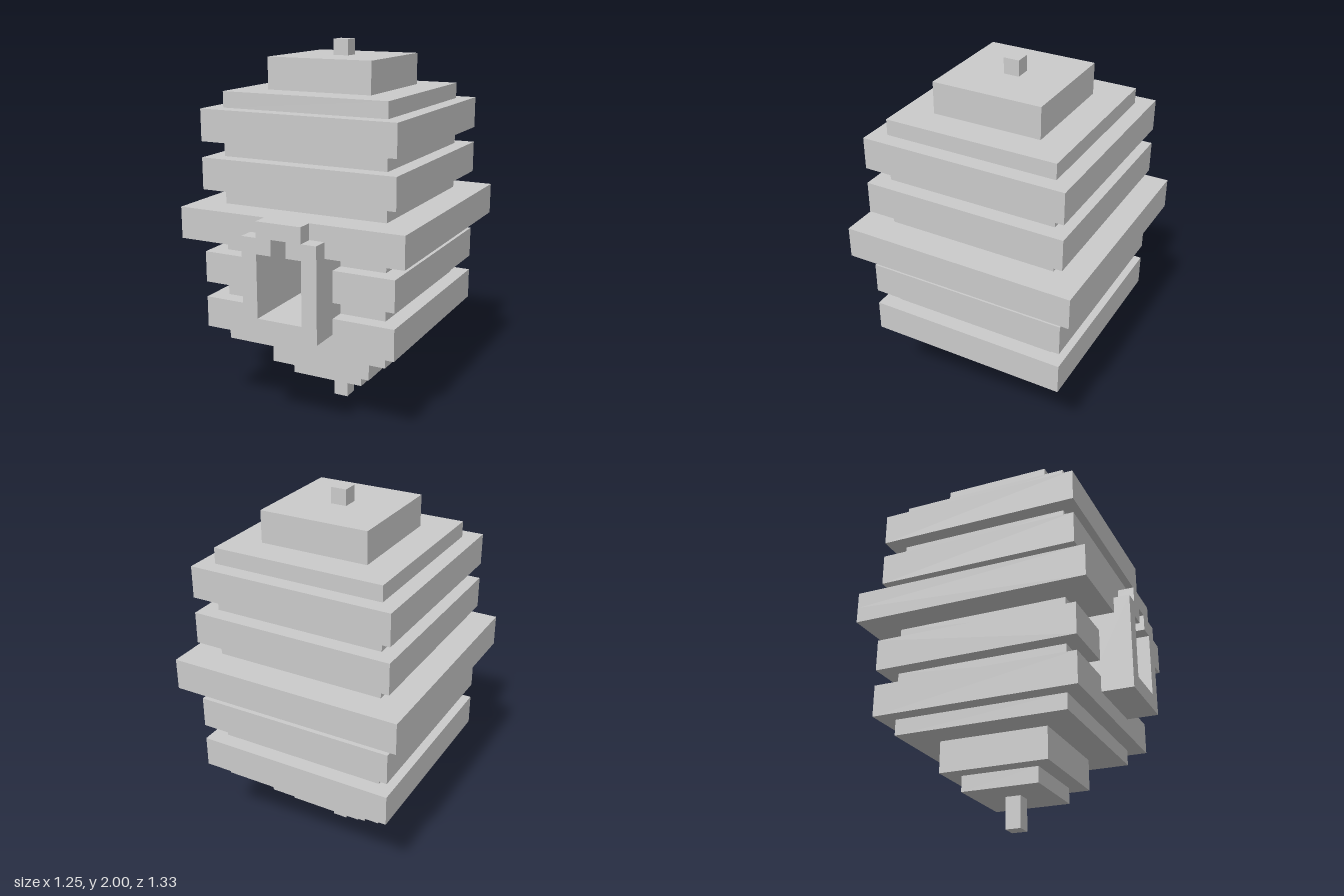
import * as THREE from 'three';

const U = 1 / 12;            // one block
const MID_Z = -0.5;          // tiers sit half a block behind the origin
const TUNNEL_BACK = 2;       // where the entrance passage ends

const material = new THREE.MeshStandardMaterial({ color: 0xcccccc, flatShading: true });

function outline(points, Type = THREE.Shape) {
  return new Type(points.map(([x, y]) => new THREE.Vector2(x * U, y * U)));
}

function extrude(shape, depth) {
  return new THREE.ExtrudeGeometry(shape, { depth: depth * U, bevelEnabled: false });
}

// Square tier between two heights, with an optional slot cut in from the front
function tier(name, y0, y1, width, slot = 0) {
  const h = width / 2;
  const front = h + MID_Z, back = -h + MID_Z, s = slot / 2;
  let geometry;
  if (slot) {
    // Plan drawn with -z as its second axis, then laid flat
    geometry = extrude(outline([
      [-h, -front], [-s, -front], [-s, -TUNNEL_BACK], [s, -TUNNEL_BACK],
      [s, -front], [h, -front], [h, -back], [-h, -back],
    ]), y1 - y0);
    geometry.rotateX(-Math.PI / 2);
    geometry.translate(0, y0 * U, 0);
  } else {
    geometry = new THREE.BoxGeometry(width * U, (y1 - y0) * U, width * U);
    geometry.translate(0, (y0 + y1) / 2 * U, MID_Z * U);
  }
  const mesh = new THREE.Mesh(geometry, material);
  mesh.name = name;
  return mesh;
}

// Stepped door surround with a stepped opening
function doorFrame() {
  const shape = outline([
    [-2.5, 7], [2.5, 7], [2.5, 13], [1.5, 13], [1.5, 14],
    [-1.5, 14], [-1.5, 13], [-2.5, 13],
  ]);
  shape.holes.push(outline([
    [-1.5, 8], [-1.5, 12], [-0.5, 12], [-0.5, 13],
    [0.5, 13], [0.5, 12], [1.5, 12], [1.5, 8],
  ], THREE.Path));
  const mesh = new THREE.Mesh(extrude(shape, 3), material);
  mesh.position.z = 5 * U;
  mesh.name = 'doorFrame';
  return mesh;
}

export function createModel() {
  const model = new THREE.Group();
  model.name = 'tieredHouse';

  // name, bottom, top, width, slot width
  const tiers = [
    ['bottomPeg', 0, 2, 1],
    ['lowerCap', 2, 3, 5],
    ['lowerStep', 3, 5, 7],
    ['lowerNeck', 5, 6, 11],
    ['lowerBand', 6, 8, 13],
    ['doorNeckLow', 8, 9, 11, 3],
    ['doorBand', 9, 11, 13, 3],
    ['doorNeckHigh', 11, 12, 11, 3],
    ['middleBandLow', 12, 13, 15, 1],
    ['middleBandHigh', 13, 14, 15],
    ['upperNeck', 14, 15, 11],
    ['upperBand', 15, 17, 13],
    ['topNeck', 17, 18, 11],
    ['topBand', 18, 20, 13],
    ['roofStep', 20, 21, 11],
    ['roofCap', 21, 23, 7],
    ['topPeg', 23, 24, 1],
  ];
  for (const t of tiers) model.add(tier(...t));
  model.add(doorFrame());
  return model;
}
